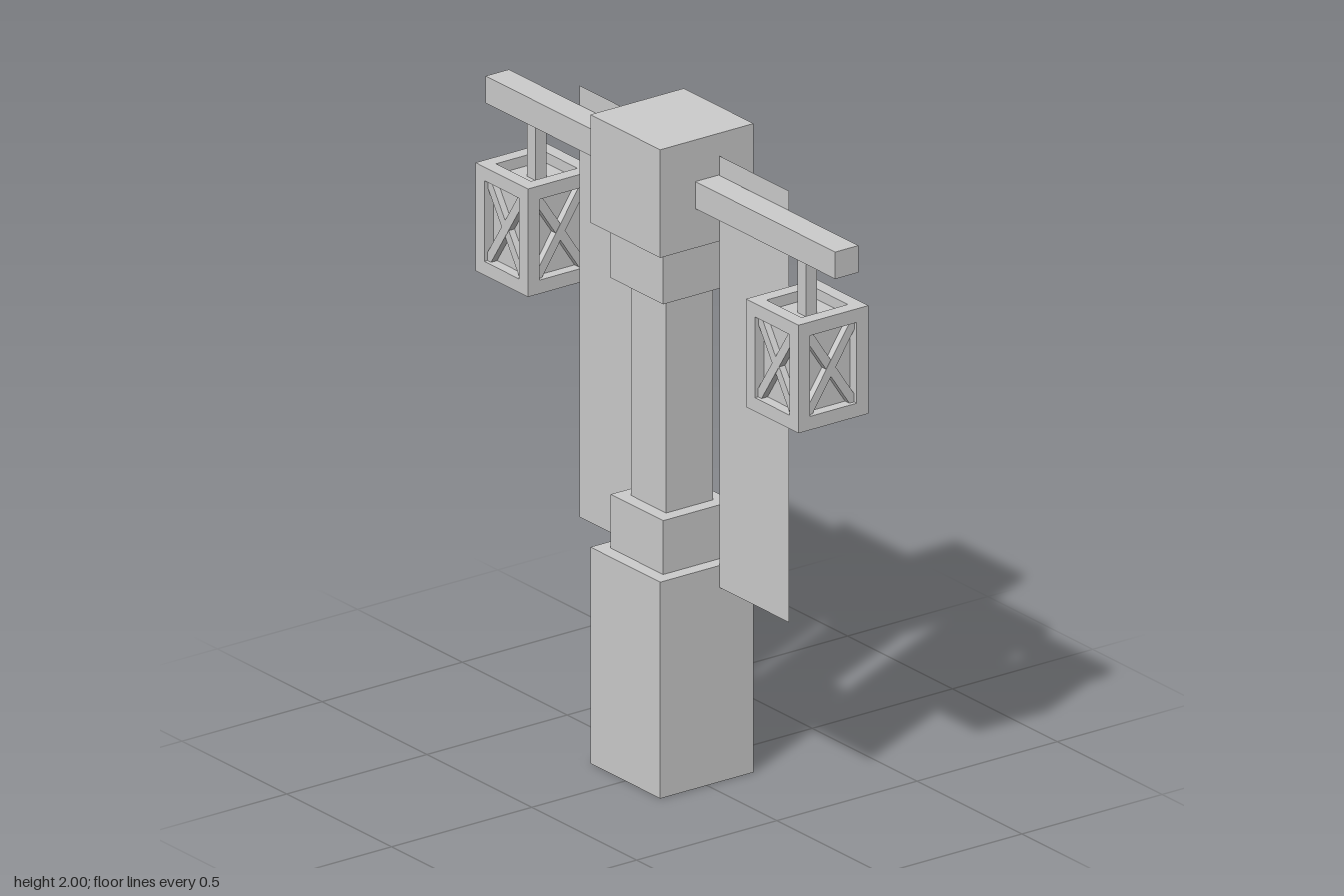
import * as THREE from 'three';

const material = new THREE.MeshStandardMaterial({ color: 0xcccccc, flatShading: true });
const clothMaterial = new THREE.MeshStandardMaterial({ color: 0xcccccc, side: THREE.DoubleSide });

function box(parent, name, [w, h, d], [x, y, z]) {
  const mesh = new THREE.Mesh(new THREE.BoxGeometry(w, h, d), material);
  mesh.name = name;
  mesh.position.set(x, y, z);
  parent.add(mesh);
  return mesh;
}

// Square lantern centred on its own origin
function createLantern() {
  const lantern = new THREE.Group();
  lantern.name = 'lantern';
  const W = 0.25, H = 0.333, T = 0.042;
  const cx = (W - T) / 2, cy = (H - T) / 2;

  // Recessed core
  box(lantern, 'lanternCore', [W - 0.066, H - 0.066, W - 0.066], [0, 0, 0]);

  // Frame: corner posts plus top and bottom rails
  for (const a of [-1, 1]) {
    for (const b of [-1, 1]) {
      box(lantern, 'framePost', [T, H, T], [a * cx, 0, b * cx]);
      box(lantern, 'frameRailX', [W - 2 * T, T, T], [0, a * cy, b * cx]);
      box(lantern, 'frameRailZ', [T, T, W - 2 * T], [b * cx, a * cy, 0]);
    }
  }

  // Crossed bars on the four sides
  const openW = W - 2 * T, openH = H - 2 * T;
  const angle = Math.atan2(openH, openW);
  for (let i = 0; i < 4; i++) {
    const side = new THREE.Group();
    side.name = 'crossBars';
    side.rotation.y = i * Math.PI / 2;
    for (const s of [-1, 1]) {
      const bar = box(side, 'crossBar', [Math.hypot(openW, openH), 0.028, 0.026], [0, 0, 0.1 + s * 0.0005]);
      bar.rotation.z = s * angle;
    }
    lantern.add(side);
  }
  return lantern;
}

export function createModel() {
  const model = new THREE.Group();
  model.name = 'lanternPost';

  // Stepped square post: name, width, bottom, top
  const tiers = [
    ['base', 0.333, 0, 0.667],
    ['lowerCollar', 0.25, 0.667, 0.833],
    ['shaft', 0.167, 0.833, 1.5],
    ['upperCollar', 0.25, 1.5, 1.667],
    ['cap', 0.333, 1.667, 2],
  ];
  for (const [name, w, y0, y1] of tiers) box(model, name, [w, y1 - y0, w], [0, (y0 + y1) / 2, 0]);

  for (const s of [-1, 1]) {
    const label = s > 0 ? 'left' : 'right';

    // Cross arm
    box(model, label + 'Arm', [0.667, 0.083, 0.083], [s * 0.5, 1.83, 0]);

    // Cloth banner behind the arm
    const banner = new THREE.Mesh(new THREE.PlaneGeometry(0.333, 1.33), clothMaterial);
    banner.name = label + 'Banner';
    banner.position.set(s * 0.333, 1.265, -0.044);
    model.add(banner);

    // Hanger and lantern
    box(model, label + 'Hanger', [0.04, 0.2, 0.04], [s * 0.645, 1.69, 0]);
    const lantern = createLantern();
    lantern.name = label + 'Lantern';
    lantern.position.set(s * 0.645, 1.479, 0);
    model.add(lantern);
  }
  return model;
}
